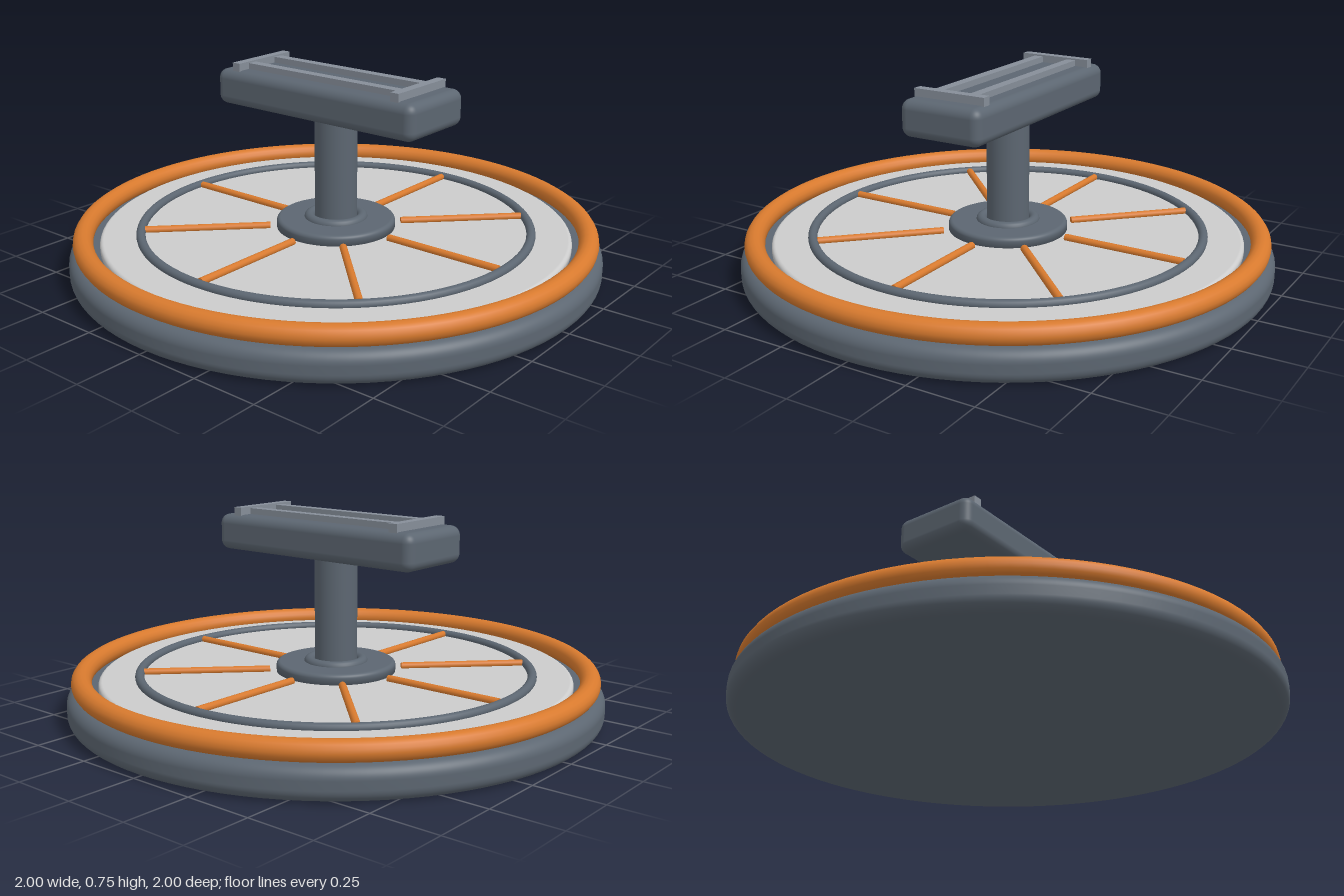
import * as THREE from 'three';
import { RoundedBoxGeometry } from 'three/addons/geometries/RoundedBoxGeometry.js';

const paint = (name, color) => {
  const m = new THREE.MeshStandardMaterial({ color });
  m.name = name;
  return m;
};

// Solid disc of revolution with rounded rims
function roundedDisc(radius, y0, y1, bevel, bottomBevel = bevel) {
  const s = new THREE.Shape();
  s.moveTo(0, y0);
  s.lineTo(radius - bottomBevel, y0);
  if (bottomBevel) s.absarc(radius - bottomBevel, y0 + bottomBevel, bottomBevel, -Math.PI / 2, 0, false);
  s.lineTo(radius, y1 - bevel);
  s.absarc(radius - bevel, y1 - bevel, bevel, 0, Math.PI / 2, false);
  s.lineTo(0, y1);
  const pts = s.getPoints(8).filter((p, i, a) => i === 0 || p.distanceTo(a[i - 1]) > 1e-5);
  return new THREE.LatheGeometry(pts, 96);
}

export function createModel() {
  const slate = paint('slate', 0x5c6671);
  const orange = paint('orange', 0xd87a2e);
  const pale = paint('pale grey', 0xcccccc);
  const steel = paint('steel', 0x868e99);

  const model = new THREE.Group();
  const add = (name, geometry, material, x = 0, y = 0, z = 0) => {
    const mesh = new THREE.Mesh(geometry, material);
    mesh.name = name;
    mesh.position.set(x, y, z);
    model.add(mesh);
    return mesh;
  };
  const ring = (name, radius, tube, y, material) =>
    add(name, new THREE.TorusGeometry(radius, tube, 16, 96).rotateX(Math.PI / 2), material, 0, y);

  // Round base, bumper and deck
  add('base', roundedDisc(1, 0, 0.12, 0.045), slate);
  ring('bumperRing', 0.945, 0.037, 0.153, orange);
  add('deck', roundedDisc(0.885, 0.11, 0.15, 0.015, 0), pale);
  ring('deckRing', 0.735, 0.017, 0.155, slate);

  // Eight radial spokes
  for (let i = 0; i < 8; i++) {
    const a = (i * Math.PI) / 4;
    const geo = new THREE.CylinderGeometry(0.014, 0.014, 0.47, 12).rotateZ(Math.PI / 2);
    const spoke = add('spoke', geo, orange, Math.cos(a) * 0.485, 0.157, -Math.sin(a) * 0.485);
    spoke.rotation.y = a;
  }

  // Hub and post
  add('hubFlange', roundedDisc(0.225, 0.14, 0.188, 0.015, 0), slate);
  ring('hubCollar', 0.1, 0.02, 0.186, slate);
  add('post', new THREE.CylinderGeometry(0.08, 0.08, 0.43, 48), slate, 0, 0.385);

  // Head block with a rail frame on top
  add('head', new RoundedBoxGeometry(0.91, 0.135, 0.326, 5, 0.035), slate, 0, 0.656);
  for (const side of [-1, 1]) {
    add('frameEnd', new THREE.BoxGeometry(0.035, 0.034, 0.285), steel, side * 0.368, 0.735);
    add('frameRail', new THREE.BoxGeometry(0.72, 0.026, 0.037), steel, 0, 0.733, side * 0.072);
  }
  return model;
}
